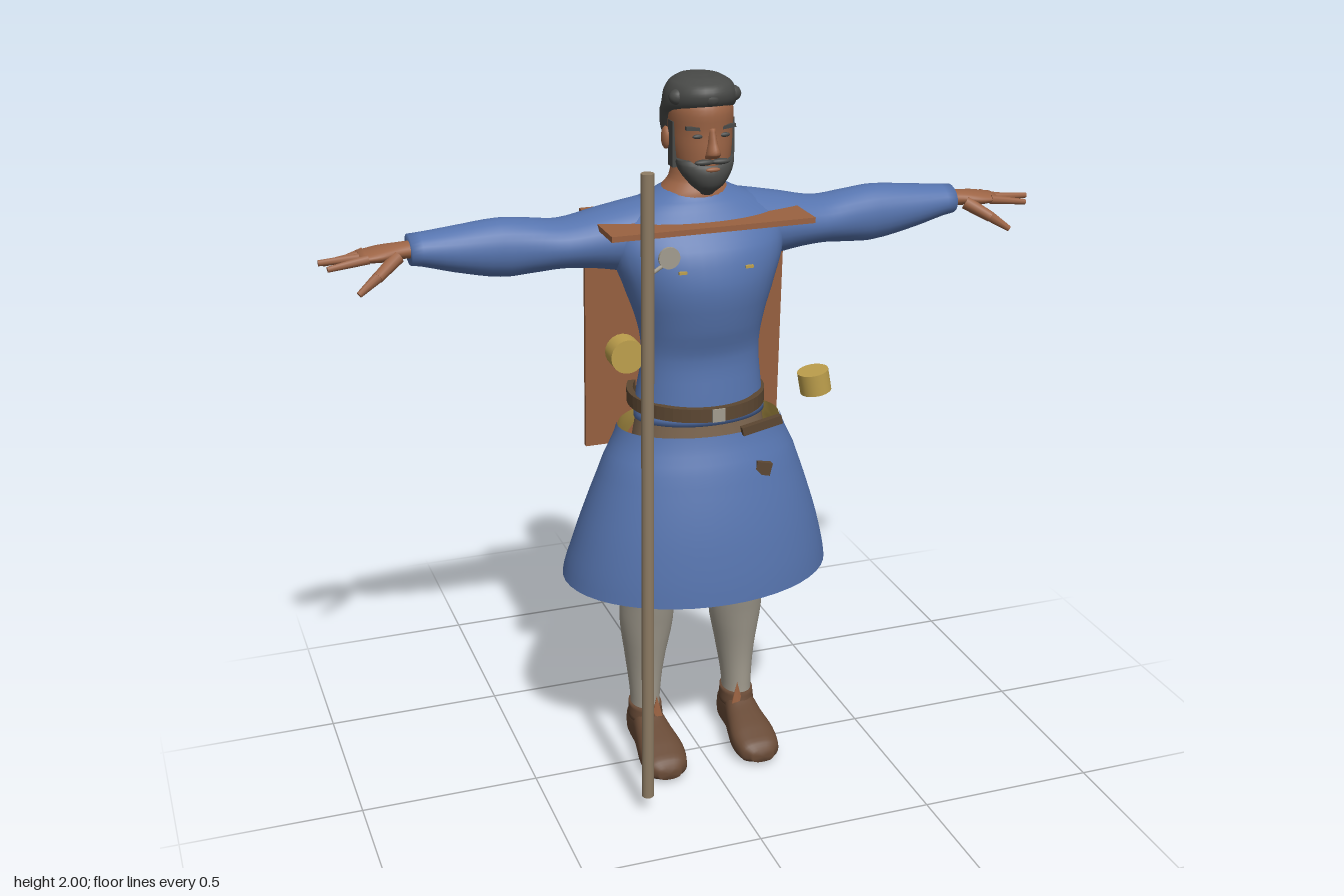
import * as THREE from 'three';

const paint = (name, color) => Object.assign(new THREE.MeshStandardMaterial({ color }), { name });

// Smooth skin through oval sections [t, a0, a1, b0, b1] along an axis.
// Extents a, b are (z, x) for axis y, (y, z) for axis x and (x, y) for axis z.
function loft(axis, sections, { sides = 28, steps = 4, power = 1, caps = true, inside = false } = {}) {
  const place = {
    y: (t, a, b) => [b, t, a],
    x: (t, a, b) => [t, a, b],
    z: (t, a, b) => [a, b, t],
  }[axis];
  const soft = (v) => Math.sign(v) * Math.abs(v) ** power;
  const at = (i) => sections[Math.min(Math.max(i, 0), sections.length - 1)];
  const rows = [];
  for (let i = 0; i < sections.length - 1; i++) {
    for (let s = 0; s < steps; s++) {
      const f = s / steps;
      rows.push(at(i).map((p, k) => {
        const q = at(i + 1)[k];
        if (k === 0) return p + (q - p) * f;
        const m0 = (q - at(i - 1)[k]) / 2, m1 = (at(i + 2)[k] - p) / 2;
        return p + f * (m0 + f * (3 * (q - p) - 2 * m0 - m1 + f * (2 * (p - q) + m0 + m1)));
      }));
    }
  }
  rows.push(at(sections.length));
  const pos = [], index = [];
  const face = (a, b, c) => (inside ? index.push(a, c, b) : index.push(a, b, c));
  for (const [t, a0, a1, b0, b1] of rows) {
    for (let j = 0; j < sides; j++) {
      const w = (j / sides) * Math.PI * 2;
      pos.push(...place(t, (a0 + a1) / 2 + soft(Math.cos(w)) * (a1 - a0) / 2,
        (b0 + b1) / 2 + soft(Math.sin(w)) * (b1 - b0) / 2));
    }
  }
  for (let i = 0; i < rows.length - 1; i++) {
    for (let j = 0; j < sides; j++) {
      const a = i * sides + j, b = i * sides + (j + 1) % sides;
      face(a, b, b + sides);
      face(a, b + sides, a + sides);
    }
  }
  if (caps) {
    for (const r of [0, rows.length - 1]) {
      const [t, a0, a1, b0, b1] = rows[r], c = pos.length / 3;
      pos.push(...place(t, (a0 + a1) / 2, (b0 + b1) / 2));
      for (let j = 0; j < sides; j++) {
        const a = r * sides + j, b = r * sides + (j + 1) % sides;
        if (r) face(a, b, c); else face(b, a, c);
      }
    }
  }
  const g = new THREE.BufferGeometry();
  g.setAttribute('position', new THREE.Float32BufferAttribute(pos, 3));
  g.setIndex(index);
  g.computeVertexNormals();
  return g;
}

// Sections symmetric about x = 0: [y, back z, front z, half width]
const upright = (list) => list.map(([y, z0, z1, w]) => [y, z0, z1, -w, w]);

// Tapered rod between two points
function rod(a, b, r0, r1, sides = 10) {
  const p = new THREE.Vector3(...a), q = new THREE.Vector3(...b), d = q.clone().sub(p);
  const g = new THREE.CylinderGeometry(r1, r0, d.length(), sides);
  g.applyQuaternion(new THREE.Quaternion().setFromUnitVectors(new THREE.Vector3(0, 1, 0), d.normalize()));
  return g.translate(...p.add(q).multiplyScalar(0.5).toArray());
}

const box = (w, h, d, x, y, z, tilt = 0) => new THREE.BoxGeometry(w, h, d).rotateZ(tilt).translate(x, y, z);
const ball = (w, h, d, x, y, z) => new THREE.SphereGeometry(1, 16, 12).scale(w, h, d).translate(x, y, z);

function mirror(geometry) {
  const g = geometry.clone().scale(-1, 1, 1), ix = g.index;
  for (let i = 0; i < ix.count; i += 3) {
    const b = ix.getX(i + 1);
    ix.setX(i + 1, ix.getX(i + 2));
    ix.setX(i + 2, b);
  }
  return g;
}

export function createModel() {
  const model = new THREE.Group();
  model.name = 'robedTraveller';
  const blue = paint('blue cloth', 0x5674ae), skin = paint('skin', 0x9c6445);
  const hairGrey = paint('dark grey hair', 0x484947), leather = paint('tan leather', 0x9a6241);
  const belt = paint('dark leather', 0x5c4732), shoe = paint('shoe brown', 0x684a36);
  const stocking = paint('pale stocking', 0xa29c8f), gold = paint('ochre', 0xbd9f4c);
  const wood = paint('staff wood', 0x8e7c64), breeches = paint('breeches brown', 0x7d6650);
  const add = (name, g, mat) => {
    const m = new THREE.Mesh(g, mat);
    m.name = name;
    model.add(m);
    return m;
  };
  const pair = (name, g, mat) => {
    add(name + 'Left', g, mat);
    add(name + 'Right', mirror(g), mat);
  };

  // Tunic
  add('torso', loft('y', upright([
    [1.07, -0.135, 0.12, 0.185], [1.13, -0.135, 0.115, 0.178], [1.25, -0.1, 0.105, 0.165],
    [1.34, -0.125, 0.13, 0.175], [1.45, -0.165, 0.148, 0.21], [1.54, -0.175, 0.13, 0.24],
    [1.61, -0.172, 0.085, 0.24], [1.66, -0.155, 0.045, 0.17], [1.69, -0.135, 0.02, 0.1],
    [1.705, -0.122, 0.005, 0.075]]), { sides: 40 }), blue);
  pair('sleeve', loft('x', [
    [0.12, 1.46, 1.675, -0.17, 0.05], [0.25, 1.485, 1.65, -0.17, 0.03], [0.36, 1.497, 1.628, -0.16, 0.015],
    [0.45, 1.492, 1.638, -0.145, 0.005], [0.53, 1.49, 1.645, -0.14, 0], [0.65, 1.515, 1.635, -0.13, -0.005],
    [0.765, 1.545, 1.625, -0.12, -0.012]]), blue);

  // Skirt with lining
  const skirt = upright([
    [0.59, -0.34, 0.245, 0.382], [0.7, -0.295, 0.235, 0.357], [0.82, -0.25, 0.215, 0.32],
    [0.95, -0.2, 0.182, 0.274], [1.05, -0.165, 0.148, 0.232]]);
  add('skirt', loft('y', skirt, { sides: 48, caps: false }), blue);
  add('skirtLining', loft('y', skirt.map(([y, a, b, c, d]) => [y, a + 0.004, b - 0.004, c + 0.004, d - 0.004]),
    { sides: 48, caps: false, inside: true }), gold);

  // Hips, legs and shoes
  add('hips', loft('y', upright([[0.88, -0.15, 0.11, 0.19], [0.98, -0.155, 0.12, 0.19], [1.095, -0.13, 0.112, 0.176]])), breeches);
  pair('thigh', loft('y', [[0.56, -0.172, 0.055, 0.05, 0.218], [0.72, -0.165, 0.08, 0.03, 0.22], [0.92, -0.14, 0.1, 0.005, 0.19]]), breeches);
  pair('stocking', loft('y', [
    [0.1, -0.135, -0.025, 0.1, 0.185], [0.17, -0.138, -0.026, 0.1, 0.185], [0.28, -0.16, -0.018, 0.085, 0.195],
    [0.42, -0.172, 0.008, 0.06, 0.212], [0.52, -0.168, 0.03, 0.063, 0.208], [0.6, -0.165, 0.045, 0.058, 0.212]]), stocking);
  pair('shoe', loft('z', [
    [-0.15, 0.115, 0.17, 0.015, 0.08], [-0.13, 0.1, 0.185, 0, 0.125], [-0.05, 0.095, 0.19, 0, 0.135],
    [0, 0.085, 0.197, 0, 0.115], [0.07, 0.074, 0.207, 0, 0.09], [0.125, 0.083, 0.2, 0, 0.066],
    [0.152, 0.11, 0.175, 0.01, 0.045]], { power: 0.75 }), shoe);
  pair('shoeCollar', loft('y', [[0.1, -0.145, -0.01, 0.093, 0.192], [0.145, -0.142, -0.02, 0.096, 0.189]]), shoe);
  pair('shoeTongue', new THREE.ConeGeometry(0.022, 0.08, 6).scale(1, 1, 0.4).translate(0.125, 0.145, -0.022), leather);

  // Hands
  pair('palm', loft('x', [
    [0.73, 1.562, 1.61, -0.093, -0.035], [0.79, 1.565, 1.607, -0.097, -0.03], [0.84, 1.562, 1.602, -0.112, -0.018],
    [0.895, 1.567, 1.593, -0.108, -0.018]]), skin);
  [[-0.1, -0.105, 0.955], [-0.077, -0.08, 0.983], [-0.053, -0.053, 0.998], [-0.029, -0.022, 0.98]].forEach(([z0, z1, x], i) => {
    pair('finger' + (i + 1), rod([0.875, 1.58, z0], [x, 1.576 - Math.abs(i - 2) * 0.01, z1], 0.013, 0.008, 8), skin);
  });
  pair('thumb', rod([0.8, 1.577, -0.035], [0.86, 1.54, 0.005], 0.019, 0.015), skin);
  pair('thumbTip', rod([0.855, 1.544, 0.002], [0.912, 1.505, 0.02], 0.015, 0.008), skin);

  // Neck and head
  add('neck', loft('y', upright([
    [1.64, -0.15, 0.03, 0.14], [1.685, -0.135, 0.028, 0.098], [1.72, -0.112, 0.012, 0.068], [1.78, -0.1, 0.008, 0.058], [1.83, -0.09, 0.02, 0.055]])), skin);
  add('face', loft('y', upright([
    [1.72, 0.01, 0.08, 0.035], [1.76, -0.05, 0.096, 0.066], [1.81, -0.088, 0.1, 0.079], [1.86, -0.095, 0.098, 0.083],
    [1.92, -0.09, 0.1, 0.083], [1.965, -0.07, 0.075, 0.06]])), skin);
  add('nose', loft('y', upright([
    [1.798, 0.08, 0.108, 0.02], [1.812, 0.08, 0.128, 0.019], [1.84, 0.08, 0.116, 0.012], [1.875, 0.08, 0.104, 0.009]]), { sides: 12 }), skin);
  pair('ear', ball(0.012, 0.03, 0.02, 0.088, 1.835, -0.015), skin);
  pair('brow', box(0.044, 0.009, 0.012, 0.04, 1.875, 0.087, 0.1).rotateY(0.06), hairGrey);
  pair('eye', ball(0.015, 0.006, 0.006, 0.036, 1.855, 0.089), hairGrey);
  add('hair', loft('y', upright([
    [1.8, -0.098, -0.035, 0.066], [1.85, -0.106, -0.005, 0.087], [1.9, -0.108, 0.035, 0.095],
    [1.925, -0.108, 0.09, 0.096], [1.955, -0.104, 0.106, 0.093], [1.98, -0.09, 0.095, 0.08],
    [1.995, -0.065, 0.06, 0.055], [2, -0.03, 0.02, 0.02]])), hairGrey);
  for (let i = 0; i < 5; i++) {
    add('hairTuft' + (i + 1), ball(0.028, 0.022, 0.022, -0.07 + i * 0.035, 1.95 + (i % 2) * 0.014, 0.085 - Math.abs(i - 2) * 0.022), hairGrey);
  }
  add('beard', loft('y', upright([
    [1.695, 0.04, 0.07, 0.015], [1.72, 0.015, 0.098, 0.043], [1.75, -0.015, 0.107, 0.066], [1.775, -0.02, 0.101, 0.077],
    [1.79, 0, 0.085, 0.078]])), hairGrey);
  pair('moustache', ball(0.027, 0.008, 0.01, 0.022, 1.789, 0.099), hairGrey);
  pair('sideburn', box(0.012, 0.12, 0.035, 0.079, 1.825, 0.012), hairGrey);
  add('lips', ball(0.02, 0.006, 0.006, 0, 1.769, 0.103), skin);

  // Leather shoulder plate and back panel
  add('shoulderPlate', box(0.56, 0.015, 0.3, 0, 1.615, -0.027), leather);
  add('backPanel', new THREE.BoxGeometry(0.57, 0.63, 0.014).rotateX(0.06).translate(0, 1.26, -0.135), leather);

  // Belt, buckle and hanging pieces
  const band = new THREE.Shape().absarc(0, 0, 0.19, 0, Math.PI * 2);
  band.holes.push(new THREE.Path().absarc(0, 0, 0.172, 0, Math.PI * 2, true));
  add('belt', new THREE.ExtrudeGeometry(band, { depth: 0.038, bevelEnabled: false, curveSegments: 24 })
    .rotateX(-Math.PI / 2).translate(0, 1.093, -0.038), belt);
  add('buckle', box(0.036, 0.036, 0.008, 0, 1.112, 0.153), stocking);
  add('beltStrap', box(0.115, 0.024, 0.018, 0.125, 1.066, 0.148, 0.2), belt);
  add('skirtPatch', box(0.045, 0.036, 0.018, 0.125, 0.945, 0.16, -0.25), belt);

  // Pendant and small tunic fastenings
  add('pendant', new THREE.CylinderGeometry(0.029, 0.029, 0.008, 20).rotateX(Math.PI / 2).translate(-0.135, 1.56, 0.148), stocking);
  add('pendantTail', rod([-0.155, 1.54, 0.148], [-0.188, 1.52, 0.148], 0.006, 0.005, 8), stocking);
  pair('fastening', box(0.022, 0.007, 0.009, 0.092, 1.51, 0.13), gold);

  // Ochre containers
  add('sidePot', new THREE.CylinderGeometry(0.044, 0.044, 0.062, 24).rotateZ(0.18).translate(0.338, 1.117, 0.003), gold);
  add('frontPot', new THREE.CylinderGeometry(0.045, 0.045, 0.056, 24).rotateX(Math.PI / 2).translate(-0.27, 1.33, 0.188), gold);

  // Walking staff
  add('staff', rod([-0.25, 0.055, 0.275], [-0.25, 1.835, 0.33], 0.017, 0.017, 12), wood);
  return model;
}
